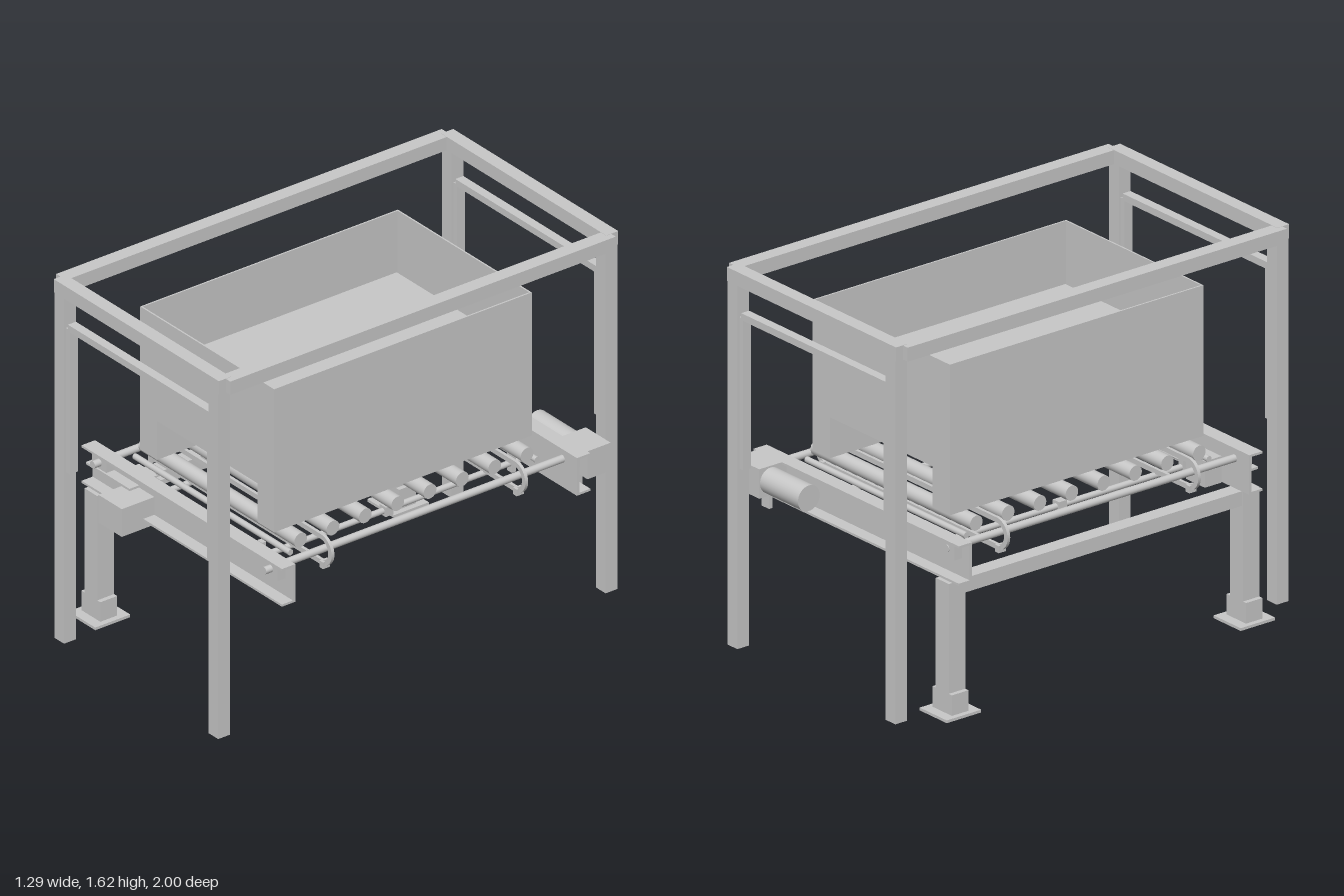
import * as THREE from 'three';

export function createModel() {
  const model = new THREE.Group();
  const steel = new THREE.MeshStandardMaterial({ color: 0xc8c8c8 });
  steel.name = 'light grey steel';

  const add = (name, geometry, x = 0, y = 0, z = 0) => {
    const m = new THREE.Mesh(geometry, steel);
    m.name = name;
    m.position.set(x, y, z);
    model.add(m);
    return m;
  };
  // Box given by its limits on each axis
  const box = (name, x0, x1, y0, y1, z0, z1) =>
    add(name, new THREE.BoxGeometry(x1 - x0, y1 - y0, z1 - z0), (x0 + x1) / 2, (y0 + y1) / 2, (z0 + z1) / 2);
  // Round bar along x or z
  const bar = (name, axis, r, length, x, y, z, sides = 20) => {
    const g = new THREE.CylinderGeometry(r, r, length, sides);
    if (axis === 'x') g.rotateZ(Math.PI / 2);
    else g.rotateX(Math.PI / 2);
    return add(name, g, x, y, z);
  };
  // Box placed at mirrored z limits
  const endBox = (name, s, x0, x1, y0, y1, z0, z1) =>
    box(name, x0, x1, y0, y1, Math.min(s * z0, s * z1), Math.max(s * z0, s * z1));

  // Outer frame and slim gate frames between the posts
  for (const s of [-1, 1]) {
    for (const t of [-1, 1]) {
      const cx = t * 0.495;
      endBox('framePost', s, cx - 0.031, cx + 0.031, 0, 1.555, 0.94, 1);
      const gx = t * 0.453;
      endBox('gateUpright', s, gx - 0.013, gx + 0.013, 0.77, 1.42, 0.95, 0.99);
    }
    endBox('frameEndBeam', s, -0.53, 0.53, 1.555, 1.615, 0.94, 1);
    box('frameSideBeam', s * 0.527 - 0.032, s * 0.527 + 0.032, 1.554, 1.614, -0.965, 0.965);
    endBox('gateTopBar', s, -0.452, 0.452, 1.41, 1.44, 0.95, 0.99);
  }

  // Bin: notched base, thin walls and the load inside
  const profile = new THREE.Shape(
    [[-0.43, 0.77], [-0.322, 0.77], [-0.322, 0.945], [0.322, 0.945], [0.322, 0.77], [0.43, 0.77], [0.43, 0.965], [-0.43, 0.965]]
      .map(([x, y]) => new THREE.Vector2(x, y)));
  add('binBase', new THREE.ExtrudeGeometry(profile, { depth: 1.29, bevelEnabled: false }), 0, 0, -0.645);
  for (const s of [-1, 1]) {
    endBox('binEndWall', s, -0.43, 0.43, 0.965, 1.415, 0.638, 0.645);
    box('binSideWall', s * 0.4265 - 0.0035, s * 0.4265 + 0.0035, 0.965, 1.415, -0.638, 0.638);
  }
  box('binLoad', -0.386, 0.386, 0.965, 1.165, -0.605, 0.605);

  // Rollers and slim cross bars
  for (let i = 0; i < 8; i++) bar('roller', 'x', 0.032, 1.0, 0, 0.739, (i - 3.5) * 0.162, 28);
  for (const s of [-1, 1]) bar('crossBar', 'x', 0.013, 1.0, 0, 0.7, s * 0.617, 16);

  // Lengthwise rods with centre collars
  for (const s of [-1, 1]) {
    bar('upperRod', 'z', 0.016, 1.55, s * 0.55, 0.698, 0.015);
    bar('lowerRod', 'z', 0.013, 1.38, s * 0.325, 0.61, 0);
    box('rodCollar', s * 0.325 - 0.02, s * 0.325 + 0.02, 0.59, 0.633, -0.02, 0.02);
  }
  bar('crossRod', 'x', 0.006, 0.65, 0, 0.61, 0.662, 10);

  // Flat stadium-shaped loops around the rods
  const stadium = (target, r) => {
    target.absarc(0.535, 0.687, r, -Math.PI / 2, Math.PI / 2, false);
    target.absarc(-0.535, 0.687, r, Math.PI / 2, Math.PI * 1.5, false);
    target.closePath();
    return target;
  };
  const loop = stadium(new THREE.Shape(), 0.068);
  loop.holes.push(stadium(new THREE.Path(), 0.046));
  const loopGeometry = new THREE.ExtrudeGeometry(loop, { depth: 0.014, bevelEnabled: false, curveSegments: 16 });
  for (const z of [-0.485, 0.485]) {
    add('driveLoop', loopGeometry, 0, 0, z - 0.007);
    for (const s of [-1, 1])
      box('loopClamp', s * 0.55 - 0.012, s * 0.55 + 0.012, 0.613, 0.643, z - 0.018, z + 0.018);
  }

  // End channels, flanges outward, with rod bearings
  for (const s of [-1, 1]) {
    endBox('channelWeb', s, -0.643, 0.643, 0.57, 0.74, 0.705, 0.717);
    endBox('channelTopFlange', s, -0.643, 0.643, 0.73, 0.74, 0.717, 0.772);
    endBox('channelBottomFlange', s, -0.643, 0.643, 0.57, 0.58, 0.717, 0.772);
    for (const t of [-1, 1]) {
      endBox('rodBearing', s, t * 0.55 - 0.046, t * 0.55 + 0.046, 0.66, 0.73, 0.717, 0.757);
      endBox('rodHanger', s, t * 0.325 - 0.015, t * 0.325 + 0.015, 0.572, 0.68, 0.615, 0.635);
    }
  }

  // Legs along one side, with feet and a lengthwise beam
  for (const s of [-1, 1]) {
    endBox('leg', s, -0.602, -0.52, 0.1, 0.57, 0.706, 0.79);
    endBox('ankle', s, -0.622, -0.5, 0.012, 0.1, 0.706, 0.79);
    endBox('footPlate', s, -0.645, -0.475, 0, 0.012, 0.66, 0.835);
  }
  box('legBeam', -0.595, -0.525, 0.508, 0.57, -0.706, 0.706);

  // Rear drive: gearbox and motor
  box('gearbox', 0.465, 0.625, 0.614, 0.74, -0.888, -0.772);
  bar('motor', 'x', 0.055, 0.24, 0.347, 0.678, -0.829, 32);
  box('rearBracket', 0.524, 0.57, 0.525, 0.614, -0.79, -0.772);

  // Front control box and sensors
  box('controlBox', -0.397, -0.247, 0.535, 0.66, 0.717, 0.88);
  box('controlShelf', -0.625, -0.345, 0.66, 0.67, 0.717, 0.765);
  box('innerBox', -0.47, -0.35, 0.567, 0.68, 0.62, 0.705);
  box('sensor', 0.358, 0.388, 0.713, 0.73, 0.717, 0.772);

  return model;
}
